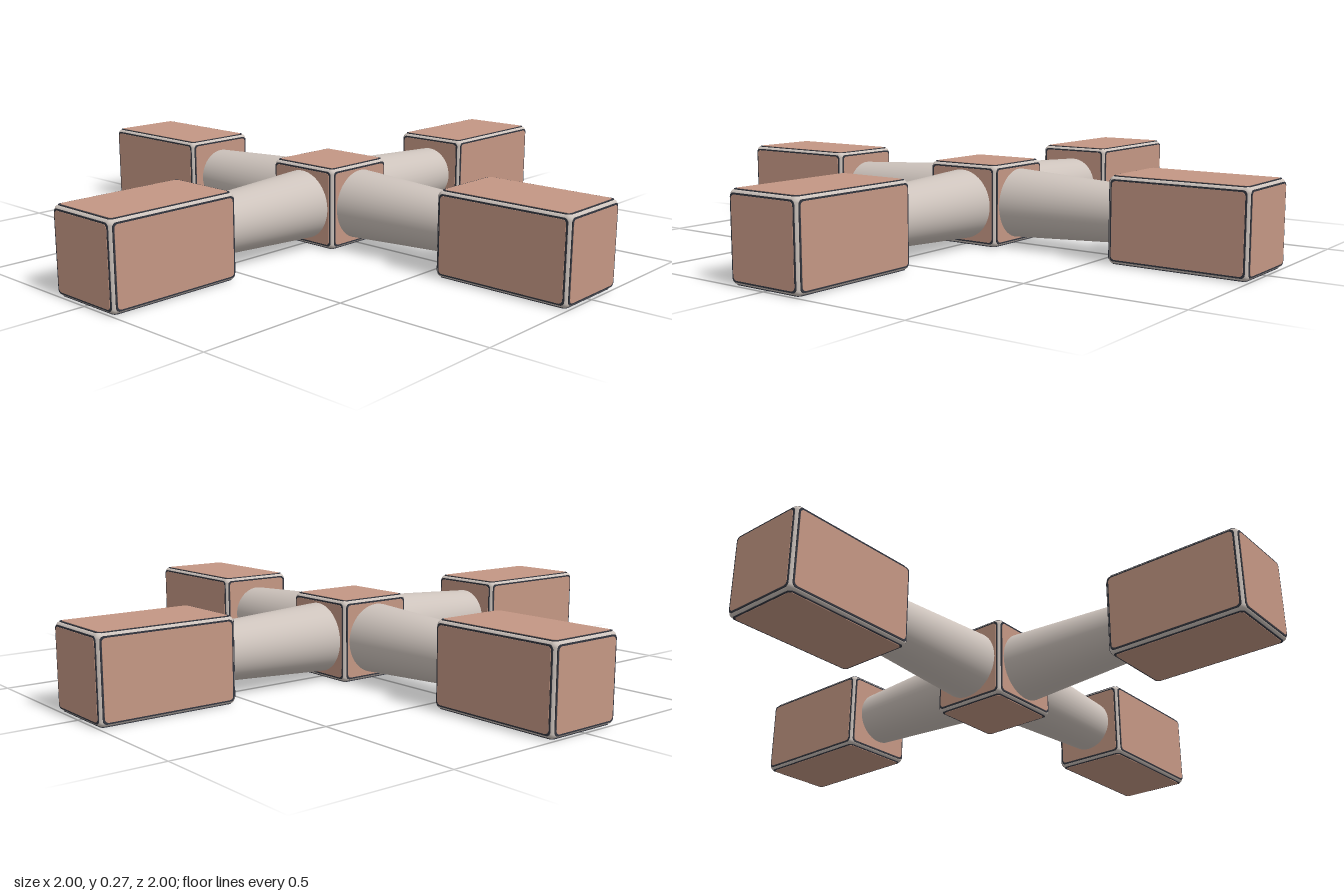
import * as THREE from 'three';
import { RoundedBoxGeometry } from 'three/addons/geometries/RoundedBoxGeometry.js';

const makeMaterial = (name, color) => {
  const m = new THREE.MeshStandardMaterial({ color });
  m.name = name;
  return m;
};

// Thin plate with rounded corners, lying in xy and rising towards +z
function plateGeometry(w, h, r, depth) {
  const x = w / 2, y = h / 2, s = new THREE.Shape();
  s.absarc(x - r, y - r, r, 0, Math.PI / 2);
  s.absarc(-x + r, y - r, r, Math.PI / 2, Math.PI);
  s.absarc(-x + r, -y + r, r, Math.PI, Math.PI * 1.5);
  s.absarc(x - r, -y + r, r, Math.PI * 1.5, Math.PI * 2);
  return new THREE.ExtrudeGeometry(s, { depth, bevelEnabled: false, curveSegments: 4 });
}

export function createModel() {
  const stone = makeMaterial('pale stone', 0xcdc3bc);
  const clay = makeMaterial('clay', 0xc49784);
  const seam = makeMaterial('dark seam', 0x34363f);
  const model = new THREE.Group();
  model.name = 'crossHub';
  const S = 0.27, L = 0.452, mid = S / 2, lip = 0.002;

  // Rounded block with a seam and a panel on each of its six faces
  function block(name, length) {
    const g = new THREE.Group();
    g.name = name;
    const size = [length, S, S];
    const frame = new THREE.Mesh(
      new RoundedBoxGeometry(length - 2 * lip, S - 2 * lip, S - 2 * lip, 3, 0.016), stone);
    frame.name = 'frame';
    g.add(frame);
    const faces = [
      ['end', length, S, S, 0, Math.PI / 2], ['end', length, S, S, 0, -Math.PI / 2],
      ['side', S, length, S, 0, 0], ['side', S, length, S, 0, Math.PI],
      ['top', S, length, S, -Math.PI / 2, 0], ['bottom', S, length, S, Math.PI / 2, 0],
    ];
    for (const [label, through, w, h, rx, ry] of faces) {
      const face = new THREE.Group();
      face.name = label + 'Face';
      face.rotation.set(rx, ry, 0);
      const layers = [['Seam', seam, 0.011, 0.0012], ['Panel', clay, 0.016, 0]];
      for (const [part, mat, inset, drop] of layers) {
        const plate = new THREE.Mesh(
          plateGeometry(w - 2 * inset, h - 2 * inset, 0.012, 0.005 - drop), mat);
        plate.name = label + part;
        plate.position.z = through / 2 - 0.005;
        face.add(plate);
      }
      g.add(face);
    }
    g.userData.size = size;
    return g;
  }

  const hub = block('centreBlock', S);
  hub.position.y = mid;
  model.add(hub);

  // Four arms, each a tapered tube carrying an end block
  ['leftArm', 'backArm', 'rightArm', 'frontArm'].forEach((name, i) => {
    const arm = new THREE.Group();
    arm.name = name;
    const tube = new THREE.Mesh(
      new THREE.CylinderGeometry(0.09, 0.114, 0.44, 48, 1, true), stone);
    tube.name = 'taperedTube';
    tube.rotation.z = -Math.PI / 2;
    tube.position.x = 0.342;
    const end = block('endBlock', L);
    end.position.x = 1 - L / 2;
    arm.add(tube, end);
    arm.position.y = mid;
    arm.rotation.y = i * Math.PI / 2;
    model.add(arm);
  });
  return model;
}
